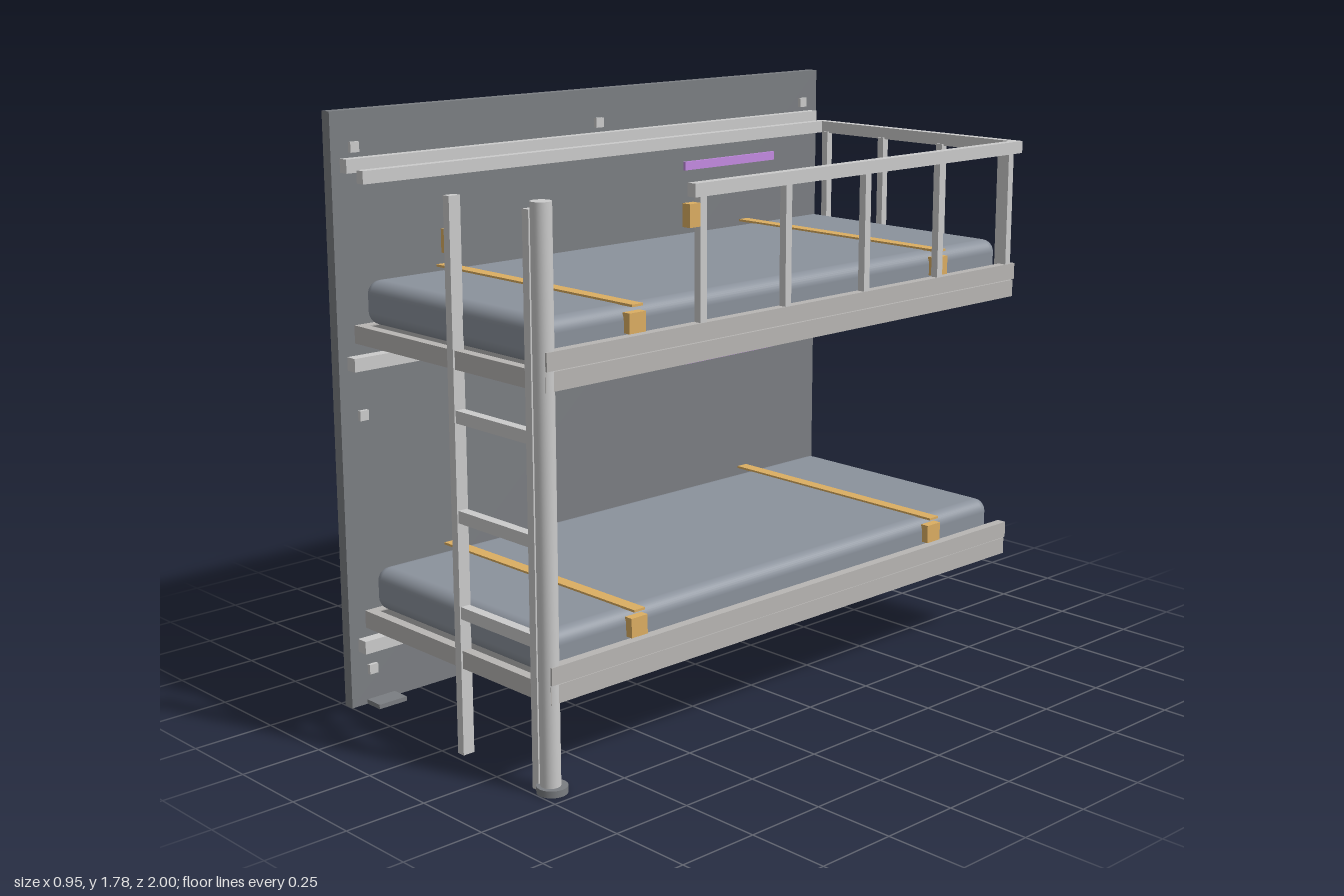
import * as THREE from 'three';
import { RoundedBoxGeometry } from 'three/addons/geometries/RoundedBoxGeometry.js';

const mat = (color) => new THREE.MeshStandardMaterial({ color });
const light = mat(0xcccccc), steel = mat(0xb8b6b4), dark = mat(0x7b7e82), deckGrey = mat(0x686868);
const fabric = mat(0x8b929c), orange = mat(0xdcae62), purple = mat(0xc48be2);

export function createModel() {
  const model = new THREE.Group();
  model.name = 'bunkBed';

  // Box given by its limits on each axis
  const box = (parent, name, material, [x0, x1], [y0, y1], [z0, z1]) => {
    const mesh = new THREE.Mesh(new THREE.BoxGeometry(x1 - x0, y1 - y0, z1 - z0), material);
    mesh.position.set((x0 + x1) / 2, (y0 + y1) / 2, (z0 + z1) / 2);
    mesh.name = name;
    parent.add(mesh);
    return mesh;
  };
  const cylinder = (parent, name, material, r, [y0, y1], x, z) => {
    const mesh = new THREE.Mesh(new THREE.CylinderGeometry(r, r, y1 - y0, 32), material);
    mesh.position.set(x, (y0 + y1) / 2, z);
    mesh.name = name;
    parent.add(mesh);
  };
  const around = (c, size) => [c - size / 2, c + size / 2];
  const group = (name) => {
    const g = new THREE.Group();
    g.name = name;
    model.add(g);
    return g;
  };

  // Wall panel with feet, bolts and light strips
  const wall = group('wall');
  box(wall, 'wallPanel', dark, [-0.478, -0.442], [0, 1.785], [-1, 1]);
  for (const z of [-0.895, 0.895]) box(wall, 'wallFoot', dark, [-0.445, -0.38], [0, 0.014], around(z, 0.1));
  for (const y of [0.11, 0.895, 1.68])
    for (const z of [-0.925, 0, 0.925])
      box(wall, 'wallBolt', light, [-0.443, -0.43], around(y, 0.03), around(z, 0.03));
  for (const y of [0.86, 1.51]) box(wall, 'lightStrip', purple, [-0.443, -0.432], around(y, 0.028), [-0.785, -0.37]);
  box(wall, 'upperWallRail', light, [-0.443, -0.41], [1.61, 1.65], [-0.97, 0.97]);

  // One bunk; base is the underside of its frame
  const bunk = (name, base) => {
    const g = group(name);
    const frameY = [base, base + 0.053];
    for (const x of [-0.385, 0.44]) box(g, 'frameSide', steel, around(x, 0.03), frameY, [-0.97, 0.97]);
    for (const z of [-0.955, 0.955]) box(g, 'frameEnd', steel, [-0.37, 0.425], frameY, around(z, 0.03));
    box(g, 'deck', deckGrey, [-0.372, 0.427], [base + 0.012, base + 0.05], [-0.942, 0.942]);
    box(g, 'sideRail', steel, [0.43, 0.46], [base + 0.057, base + 0.108], [-0.97, 0.97]);

    // Mattress
    const mattress = new THREE.Mesh(new RoundedBoxGeometry(0.81, 0.13, 1.885, 5, 0.04), fabric);
    mattress.position.set(0.007, base + 0.117, -0.003);
    mattress.name = 'mattress';
    g.add(mattress);

    // Straps over the mattress with their buckles
    for (const z of [-0.635, 0.63]) {
      box(g, 'strap', orange, [-0.43, 0.435], [base + 0.181, base + 0.188], around(z, 0.04));
      box(g, 'buckle', orange, [0.408, 0.435], [base + 0.108, base + 0.165], around(z, 0.06));
    }

    // Supporting wall rail and hinge brackets
    box(g, 'wallRail', light, [-0.443, -0.405], [base - 0.087, base - 0.047], [-0.97, 0.97]);
    for (const z of [-0.735, 0, 0.735]) {
      box(g, 'bracket', dark, [-0.405, -0.366], [base - 0.066, base + 0.002], around(z, 0.1));
      box(g, 'bracketPin', orange, [-0.368, -0.36], around(base - 0.032, 0.03), around(z, 0.03));
    }
  };
  bunk('lowerBunk', 0.26);
  bunk('upperBunk', 1.122);

  // Guard rail round the upper bunk
  const guard = group('guardRail');
  const railY = [1.58, 1.618];
  box(guard, 'sideTopRail', light, [0.43, 0.46], railY, [-0.99, 0.44]);
  box(guard, 'endTopRail', light, [-0.375, 0.43], railY, [-0.99, -0.96]);
  box(guard, 'wallTopRail', light, [-0.405, -0.375], railY, [-0.99, 0.94]);
  for (let i = 0; i < 5; i++)
    box(guard, 'sidePost', light, around(0.445, 0.024), [1.228, 1.585], around(0.405 - i * 0.336, 0.024));
  for (let i = 0; i < 4; i++)
    box(guard, 'endPost', light, around(-0.355 + i * 0.253, 0.024), [1.17, 1.585], around(-0.965, 0.024));
  box(guard, 'guardLatch', orange, [0.435, 0.465], [1.5, 1.565], [0.425, 0.465]);

  // Corner post on its flange
  const post = group('cornerPost');
  cylinder(post, 'post', light, 0.029, [0, 1.62], 0.429, 0.955);
  cylinder(post, 'postFlange', dark, 0.044, [0, 0.02], 0.433, 0.953);

  // Ladder
  const ladder = group('ladder');
  for (const x of [0.057, 0.39]) box(ladder, 'ladderStile', light, around(x, 0.026), [0, 1.597], [0.938, 0.976]);
  for (const y of [0.425, 0.705, 0.99])
    box(ladder, 'rung', light, [0.068, 0.38], around(y, 0.036), around(0.957, 0.03));
  box(ladder, 'ladderLatch', orange, [0.03, 0.046], [1.44, 1.505], around(0.957, 0.036));

  return model;
}
